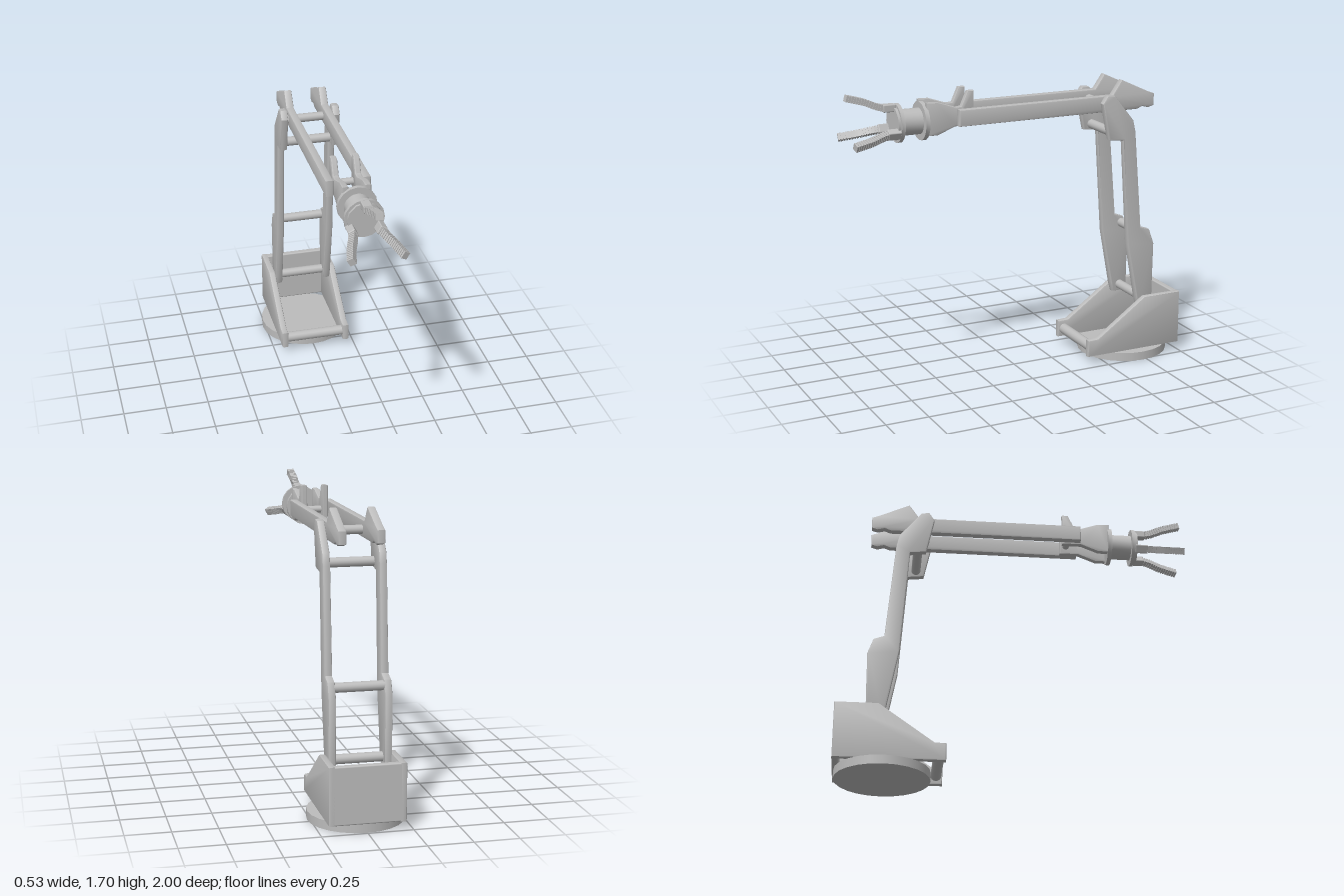
import * as THREE from 'three';
import { toCreasedNormals } from 'three/addons/utils/BufferGeometryUtils.js';
import { RoundedBoxGeometry } from 'three/addons/geometries/RoundedBoxGeometry.js';

export function createModel() {
  const root = new THREE.Group();
  root.name = 'roboticArm';
  const grey = new THREE.MeshStandardMaterial({ color: 0xbcbcbc });
  grey.name = 'grey';

  const add = (parent, name, geometry, x = 0, y = 0, z = 0) => {
    const mesh = new THREE.Mesh(geometry, grey);
    mesh.name = name;
    mesh.position.set(x, y, z);
    parent.add(mesh);
    return mesh;
  };
  const group = (name, parent = root) => {
    const g = new THREE.Group();
    g.name = name;
    parent.add(g);
    return g;
  };

  // Bevelled plate from a [z, y] profile, centred on x
  const plate = (points, width, bevel = 0.009) => {
    const shape = new THREE.Shape(points.map(([z, y]) => new THREE.Vector2(z, y)));
    const geo = new THREE.ExtrudeGeometry(shape, {
      depth: width - 2 * bevel, bevelEnabled: true, bevelSize: bevel,
      bevelThickness: bevel, bevelOffset: -bevel, bevelSegments: 2,
    });
    geo.translate(0, 0, -(width - 2 * bevel) / 2);
    geo.rotateY(-Math.PI / 2);
    return toCreasedNormals(geo, 0.7);
  };
  const platePair = (parent, name, points, inner, outer) => {
    const geo = plate(points, outer - inner);
    add(parent, name + 'Left', geo, (inner + outer) / 2);
    add(parent, name + 'Right', geo, -(inner + outer) / 2);
  };
  // Round bar running across x
  const crossBar = (parent, name, y, z, radius, length) =>
    add(parent, name, new THREE.CylinderGeometry(radius, radius, length, 16).rotateZ(Math.PI / 2), 0, y, z);
  // Round disc or drum running along z
  const drum = (parent, name, radius, z0, z1, sides) =>
    add(parent, name, toCreasedNormals(
      new THREE.CylinderGeometry(radius, radius, z1 - z0, sides).rotateX(Math.PI / 2), 0.6), 0, 0, (z0 + z1) / 2);

  // Turntable and open-bottomed housing
  const base = group('base');
  add(base, 'turntable', new THREE.CylinderGeometry(0.267, 0.267, 0.05, 24), 0, 0.025, -0.725);
  platePair(base, 'housingSide', [
    [-0.385, 0.05], [-0.385, 0.152], [-0.45, 0.155], [-0.76, 0.372], [-1, 0.372], [-1, 0.05],
  ], 0.172, 0.212);
  add(base, 'housingBack', new RoundedBoxGeometry(0.4, 0.322, 0.036, 2, 0.008), 0, 0.211, -0.982);
  crossBar(base, 'housingFrontBar', 0.1, -0.422, 0.031, 0.38);

  // Lower arm
  const lower = group('lowerArm');
  platePair(lower, 'lowerArmPlate', [
    [-0.735, 0.305], [-0.72, 0.36], [-0.657, 0.7], [-0.614, 1.327], [-0.523, 1.337], [-0.478, 1.55],
    [-0.51, 1.597], [-0.555, 1.592], [-0.679, 1.44], [-0.694, 1.375], [-0.743, 0.795],
    [-0.802, 0.774], [-0.834, 0.685], [-0.828, 0.305],
  ], 0.132, 0.175);
  [[0.347, -0.78], [0.74, -0.785], [1.37, -0.57]].forEach(([y, z], i) =>
    crossBar(lower, 'lowerArmBar' + (i + 1), y, z, 0.027, 0.3));
  crossBar(lower, 'elbowBar', 1.535, -0.522, 0.025, 0.3);

  // Upper arm
  const upper = group('upperArm');
  platePair(upper, 'upperArmPlate', [
    [0.386, 1.492], [0.386, 1.586], [-0.565, 1.586], [-0.625, 1.67], [-0.80, 1.59],
    [-0.84, 1.575], [-0.84, 1.505], [-0.805, 1.494], [-0.765, 1.505], [-0.73, 1.492],
  ], 0.08, 0.126);

  // Wrist fork
  const wrist = group('wrist');
  platePair(wrist, 'wristFork', [
    [0.56, 1.447], [0.56, 1.632], [0.494, 1.63], [0.387, 1.594], [0.355, 1.597],
    [0.317, 1.68], [0.28, 1.68], [0.28, 1.487], [0.392, 1.487], [0.494, 1.447],
  ], 0.043, 0.08);
  crossBar(wrist, 'wristBar', 1.535, 0.317, 0.02, 0.21);

  // Gripper head
  const gripper = group('gripper');
  gripper.position.y = 1.522;
  drum(gripper, 'rearFlange', 0.109, 0.552, 0.576, 16);
  drum(gripper, 'gripperDrum', 0.073, 0.57, 0.705, 20);
  drum(gripper, 'frontFlange', 0.109, 0.695, 0.716, 16);
  drum(gripper, 'fingerPlate', 0.096, 0.71, 0.73, 12);

  // Three ribbed fingers around the head
  const path = new THREE.CatmullRomCurve3([
    [0.088, 0.77], [0.1, 0.82], [0.13, 0.89], [0.147, 0.945], [0.16, 0.992],
  ].map(([r, z]) => new THREE.Vector3(0, r, z)));
  const ribGeo = new THREE.BoxGeometry(0.04, 0.036, 0.01);
  const coreGeo = new THREE.BoxGeometry(0.033, 0.029, 0.02);
  const ribs = 16;
  for (let f = 0; f < 3; f++) {
    const finger = group('finger' + (f + 1), gripper);
    finger.rotation.z = f * Math.PI * 2 / 3;
    add(finger, 'knuckle', new RoundedBoxGeometry(0.05, 0.042, 0.075, 2, 0.006), 0, 0.088, 0.752);
    for (let i = 0; i <= ribs; i++) {
      const p = path.getPointAt(i / ribs);
      const t = path.getTangentAt(i / ribs);
      const tilt = -Math.atan2(t.y, t.z);
      add(finger, 'fingerRib', ribGeo, 0, p.y, p.z).rotation.x = tilt;
      if (i < ribs) {
        const q = path.getPointAt((i + 0.5) / ribs);
        add(finger, 'fingerCore', coreGeo, 0, q.y, q.z).rotation.x = tilt;
      }
    }
  }

  return root;
}
